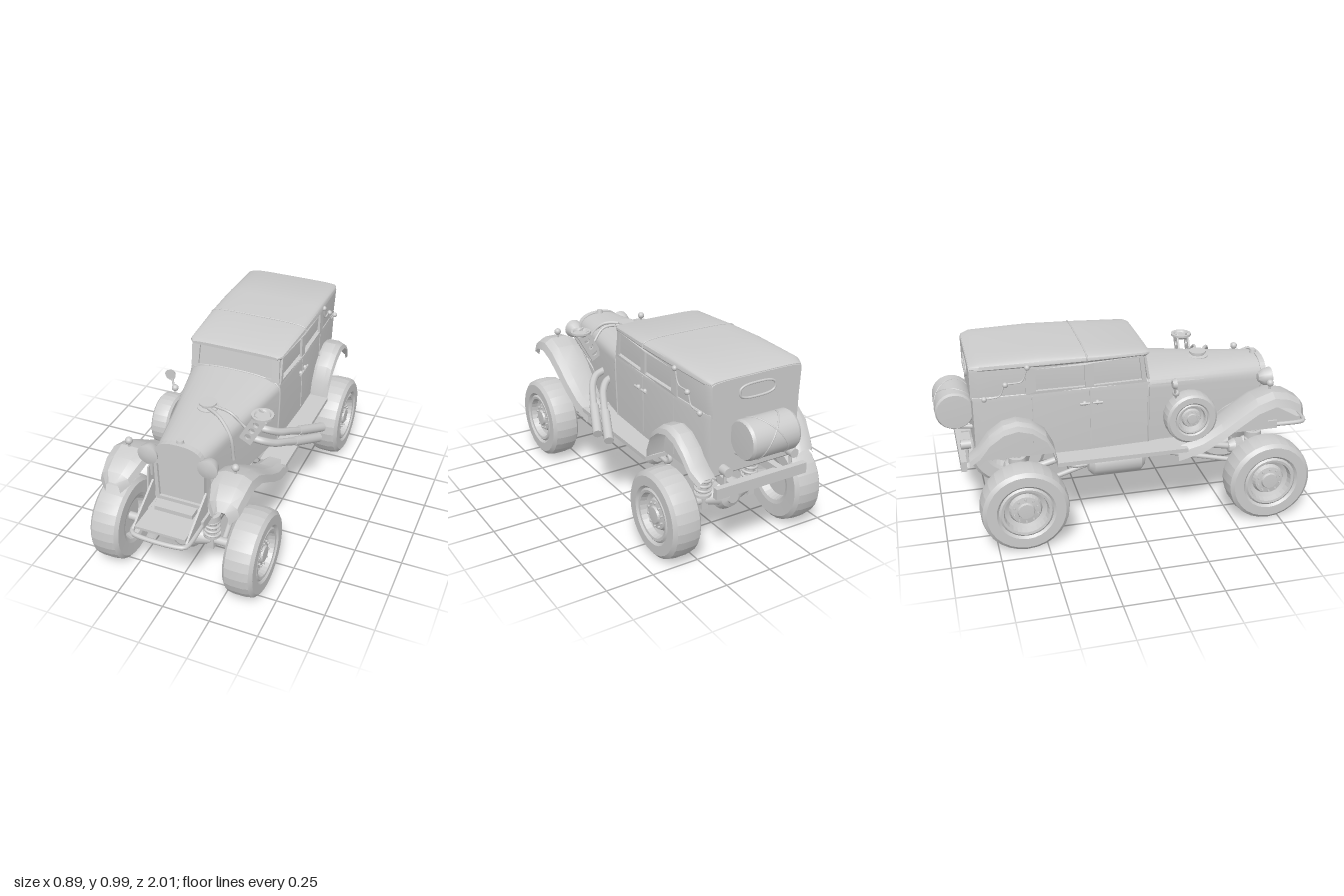
import * as THREE from 'three';
import { toCreasedNormals } from 'three/addons/utils/BufferGeometryUtils.js';

const mat = new THREE.MeshStandardMaterial({ color: 0xcccccc });
const thin = new THREE.MeshStandardMaterial({ color: 0xcccccc, side: THREE.DoubleSide });
const V = (x, y, z) => new THREE.Vector3(x, y, z);
const SIDES = [1, -1];

export function createModel() {
  const model = new THREE.Group();
  const car = new THREE.Group();
  car.name = 'offRoadCar';
  car.position.x = -0.01;
  model.add(car);

  // helpers
  const add = (name, geo, x = 0, y = 0, z = 0, m = mat, parent = car) => {
    const mesh = new THREE.Mesh(geo, m);
    mesh.name = name;
    mesh.position.set(x, y, z);
    parent.add(mesh);
    return mesh;
  };
  const box = (name, w, h, d, x, y, z) => add(name, new THREE.BoxGeometry(w, h, d), x, y, z);
  const ball = (name, r, x, y, z) => add(name, new THREE.SphereGeometry(r, 14, 10), x, y, z);
  const rod = (name, a, b, r, r2 = r, n = 14) => {
    const dir = b.clone().sub(a), mid = a.clone().lerp(b, 0.5);
    const mesh = add(name, new THREE.CylinderGeometry(r2, r, dir.length(), n), mid.x, mid.y, mid.z);
    mesh.quaternion.setFromUnitVectors(V(0, 1, 0), dir.normalize());
    return mesh;
  };
  const tube = (name, pts, r, closed = false, n = 40) =>
    add(name, new THREE.TubeGeometry(new THREE.CatmullRomCurve3(pts, closed, 'centripetal'), n, r, 8, closed), 0, 0, 0, thin);
  const lathe = (pts, n = 28, crease = 0.5) =>
    toCreasedNormals(new THREE.LatheGeometry(pts.map(p => new THREE.Vector2(...p)), n), crease);
  const shape = pts => new THREE.Shape(pts.map(p => new THREE.Vector2(...p)));
  // side plate: outline in (z, y), thickness across x
  const plate = (name, outline, t, x, holes = []) => {
    const s = shape(outline);
    holes.forEach(h => s.holes.push(shape(h)));
    const g = new THREE.ExtrudeGeometry(s, { depth: t, bevelEnabled: false });
    return add(name, g.rotateY(-Math.PI / 2).translate(t / 2, 0, 0), x);
  };
  // arched section, counter-clockwise as seen from the front
  const arch = (z, hw, bottom, shoulder, top, p, lean = 0) => {
    const ring = [V(hw * 0.97, bottom, z)];
    for (let i = 0; i <= 16; i++) {
      const a = i / 16 * Math.PI, c = Math.cos(a);
      const y = shoulder + (top - shoulder) * Math.max(0, Math.sin(a)) ** p;
      ring.push(V(hw * Math.sign(c) * Math.abs(c) ** p, y, z - lean * (y - bottom)));
    }
    ring.push(V(-hw * 0.97, bottom, z));
    return ring;
  };
  // skin through sections ordered front to back, closed at both ends
  const loft = (rings, crease = 0.5) => {
    const n = rings[0].length, pos = [], idx = [];
    rings.forEach(r => r.forEach(p => pos.push(p.x, p.y, p.z)));
    for (let i = 0; i < rings.length - 1; i++) for (let j = 0; j < n; j++) {
      const f = i * n + j, f1 = i * n + (j + 1) % n;
      idx.push(f + n, f1 + n, f1, f + n, f1, f);
    }
    [0, rings.length - 1].forEach((ri, back) => {
      const c = rings[ri].reduce((s, p) => s.add(p), V(0, 0, 0)).divideScalar(n), ci = pos.length / 3;
      pos.push(c.x, c.y, c.z);
      for (let j = 0; j < n; j++) {
        const a = ri * n + j, b = ri * n + (j + 1) % n;
        idx.push(ci, back ? b : a, back ? a : b);
      }
    });
    const g = new THREE.BufferGeometry();
    g.setAttribute('position', new THREE.Float32BufferAttribute(pos, 3));
    g.setIndex(idx);
    return toCreasedNormals(g, crease);
  };

  // body: hood, lower cabin, glasshouse and roof
  add('hood', loft([arch(0.73, 0.128, 0.45, 0.69, 0.79, 0.75), arch(0.4, 0.185, 0.45, 0.72, 0.805, 0.75),
    arch(0.06, 0.25, 0.45, 0.75, 0.825, 0.75)]));
  add('lowerCabin', loft([arch(0.065, 0.25, 0.45, 0.77, 0.81, 0.4), arch(-0.26, 0.265, 0.45, 0.77, 0.81, 0.4),
    arch(-0.78, 0.262, 0.45, 0.77, 0.81, 0.4), arch(-0.82, 0.25, 0.48, 0.77, 0.81, 0.4)]));
  add('glasshouse', loft([arch(0.06, 0.235, 0.79, 0.92, 0.945, 0.4, 0.15), arch(-0.26, 0.25, 0.79, 0.92, 0.95, 0.4),
    arch(-0.8, 0.25, 0.79, 0.92, 0.95, 0.4)]));
  add('roof', loft([arch(0.07, 0.235, 0.935, 0.94, 0.952, 0.5), arch(0.045, 0.255, 0.93, 0.94, 0.963, 0.5),
    arch(-0.255, 0.27, 0.93, 0.94, 0.977, 0.5), arch(-0.48, 0.272, 0.93, 0.94, 0.985, 0.5),
    arch(-0.78, 0.268, 0.93, 0.94, 0.975, 0.5), arch(-0.825, 0.25, 0.93, 0.94, 0.955, 0.5)], 0.7));
  add('rearHood', loft([arch(-0.54, 0.266, 0.78, 0.93, 0.965, 0.4), arch(-0.79, 0.264, 0.78, 0.93, 0.965, 0.4),
    arch(-0.828, 0.25, 0.78, 0.92, 0.95, 0.4)]));
  const roofSeam = arch(-0.255, 0.271, 0.93, 0.94, 0.978, 0.5).slice(1, -1);
  tube('roofSeam', roofSeam, 0.004);
  tube('cowlSeam', arch(0.065, 0.25, 0.45, 0.75, 0.825, 0.75), 0.005);

  const screen = shape([[-0.245, 0], [0.245, 0], [0.24, 0.14], [-0.24, 0.14]]);
  screen.holes.push(shape([[-0.205, 0.015], [0.205, 0.015], [0.2, 0.122], [-0.2, 0.122]]));
  add('windscreenFrame', new THREE.ExtrudeGeometry(screen, { depth: 0.012, bevelEnabled: false }), 0, 0.8, 0.06).rotation.x = -0.15;

  const rect = (z0, z1, y0, y1) => [[z0, y0], [z1, y0], [z1, y1], [z0, y1]];
  for (const s of SIDES) {
    // window panel follows the widening of the cabin
    const panel = plate('sideWindowPanel', [[0.055, 0.79], [0.035, 0.935], [-0.56, 0.935], [-0.56, 0.79]], 0.012, 0,
      [[[0.03, 0.805], [0.015, 0.925], [-0.22, 0.925], [-0.22, 0.805]], rect(-0.265, -0.51, 0.805, 0.92)]);
    const p = panel.geometry.attributes.position;
    for (let i = 0; i < p.count; i++) p.setX(i, p.getX(i) + s * (0.245 + 0.016 * Math.min(1, (0.06 - p.getZ(i)) / 0.32)));
    panel.geometry.computeVertexNormals();
    for (const z of [-0.24, -0.53]) box('doorSeam', 0.004, 0.3, 0.006, s * 0.264, 0.63, z);
    for (const z of [-0.205, -0.27]) {
      rod('doorHandle', V(s * 0.275, 0.715, z - 0.025), V(s * 0.275, 0.715, z + 0.025), 0.006);
      ball('handleBoss', 0.012, s * 0.268, 0.715, z);
    }
    // roof fasteners and cord
    const knobs = [[0.935, -0.55], [0.855, -0.66], [0.79, -0.765]];
    knobs.forEach(([y, z]) => ball('roofKnob', 0.014, s * 0.272, y, z));
    tube('roofCord', [V(s * 0.27, 0.935, -0.55), V(s * 0.27, 0.865, -0.58), V(s * 0.27, 0.855, -0.66),
      V(s * 0.27, 0.8, -0.69), V(s * 0.268, 0.79, -0.765)], 0.004);
    for (const z of [0.36, 0.27, 0.18]) box('hoodLouvre', 0.008, 0.05, 0.008, s * (0.247 - z * 0.17), 0.68, z);
  }
  const oval = [];
  for (let i = 0; i < 20; i++) {
    const a = i / 20 * Math.PI * 2, q = v => Math.sign(v) * Math.abs(v) ** 0.7;
    oval.push(V(0.1 * q(Math.cos(a)), 0.875 + 0.035 * q(Math.sin(a)), -0.829));
  }
  tube('rearWindowRim', oval, 0.006, true, 60);

  // radiator shell, cap and filler
  const shell = new THREE.Shape(arch(0, 0.132, 0.45, 0.69, 0.797, 0.75).map(v => new THREE.Vector2(v.x, v.y)));
  shell.holes.push(shape([[-0.11, 0.47], [0.11, 0.47], [0.115, 0.665], [-0.115, 0.665]]));
  add('radiatorShell', new THREE.ExtrudeGeometry(shell, { depth: 0.03, bevelEnabled: false }), 0, 0, 0.715);
  add('radiatorCap', new THREE.CylinderGeometry(0.015, 0.02, 0.02, 12), 0, 0.8, 0.715);
  add('hoodFiller', lathe([[0.055, 0], [0.055, 0.012], [0.035, 0.016], [0.035, 0.025], [0.045, 0.028], [0.045, 0.036], [0, 0.036]], 20), 0, 0.795, 0.4);

  // fenders: crowned sheet swept along a (z, y, inner x, outer x) path
  const fender = (name, path, s, skirt) => {
    const section = [[0, 0.8], [0.07, 0.3], [0.28, 0], [0.72, 0], [0.93, 0.35], [1, 1]];
    const pos = [], idx = [], n = section.length;
    path.forEach(([z, y, a, b], i) => {
      section.forEach(([u, d]) => pos.push(s * (a + (b - a) * u), y - d * skirt, z));
      if (i) for (let j = 0; j < n - 1; j++) {
        const k = i * n + j, q = [k - n, k - n + 1, k + 1, k];
        if (s < 0) q.reverse();
        idx.push(q[0], q[1], q[2], q[0], q[2], q[3]);
      }
    });
    const g = new THREE.BufferGeometry();
    g.setAttribute('position', new THREE.Float32BufferAttribute(pos, 3));
    g.setIndex(idx);
    add(name, toCreasedNormals(g, 0.45), 0, 0, 0, thin);
  };
  for (const s of SIDES) {
    fender('frontFender', [[0.89, 0.6, 0.24, 0.32], [0.86, 0.64, 0.2, 0.36], [0.79, 0.68, 0.175, 0.372], [0.71, 0.695, 0.17, 0.375],
      [0.62, 0.665, 0.17, 0.375], [0.53, 0.605, 0.17, 0.373], [0.44, 0.54, 0.18, 0.37], [0.33, 0.475, 0.2, 0.365], [0.2, 0.44, 0.22, 0.36]], s, 0.065);
    fender('rearFender', [[-0.425, 0.445, 0.24, 0.355], [-0.44, 0.53, 0.24, 0.36], [-0.48, 0.61, 0.24, 0.365], [-0.55, 0.665, 0.24, 0.367],
      [-0.62, 0.685, 0.24, 0.367], [-0.69, 0.67, 0.24, 0.367], [-0.76, 0.62, 0.24, 0.365], [-0.81, 0.55, 0.24, 0.355], [-0.86, 0.5, 0.23, 0.33]], s, 0.04);
    plate('innerSplashPanel', [[0.76, 0.44], [0.74, 0.62], [0.62, 0.62], [0.5, 0.56], [0.36, 0.47], [0.25, 0.43]], 0.008, s * 0.168);
    box('runningBoard', 0.14, 0.022, 0.68, s * 0.29, 0.433, -0.09);
    ball('markerLamp', 0.019, s * 0.277, 0.727, 0.71);
    rod('markerStem', V(s * 0.277, 0.69, 0.71), V(s * 0.277, 0.72, 0.71), 0.006);
    // headlamps
    const lamp = lathe([[0, -0.06], [0.02, -0.055], [0.042, -0.03], [0.05, 0], [0.052, 0.012], [0.046, 0.014], [0, 0.022]], 20, 0.6);
    add('headlamp', lamp.rotateX(Math.PI / 2), s * 0.155, 0.71, 0.745);
    rod('headlampStay', V(s * 0.155, 0.67, 0.72), V(s * 0.165, 0.56, 0.71), 0.01);
    // chassis rails, front gussets and tail lamps
    box('chassisRail', 0.035, 0.045, 1.7, s * 0.14, 0.42, -0.03);
    plate('frontGusset', [[0.97, 0.425], [0.95, 0.44], [0.745, 0.56], [0.735, 0.425]], 0.01, s * 0.14);
    rod('tailLamp', V(s * 0.19, 0.52, -0.84), V(s * 0.19, 0.52, -0.89), 0.024);
    rod('tailLampStay', V(s * 0.19, 0.45, -0.86), V(s * 0.19, 0.52, -0.86), 0.008);
    // air tanks under the floor
    const tank = lathe([[0, -0.155], [0.05, -0.15], [0.075, -0.125], [0.078, 0.125], [0.05, 0.15], [0, 0.155]], 20, 0.6);
    add('airTank', tank.rotateX(Math.PI / 2), s * 0.165, 0.33, -0.09);
    for (const z of [0, -0.18]) box('tankStrap', 0.03, 0.06, 0.025, s * 0.165, 0.42, z);
    tube('tankPipe', [V(s * 0.165, 0.365, -0.23), V(s * 0.165, 0.365, -0.32), V(s * 0.165, 0.34, -0.345), V(s * 0.165, 0.315, -0.32), V(s * 0.165, 0.315, -0.23)], 0.012);
  }
  for (const z of [0.7, 0.3, -0.05, -0.4, -0.62, -0.85]) box('crossMember', 0.28, 0.03, 0.05, 0, 0.42, z);
  box('frontFloor', 0.26, 0.014, 0.23, 0, 0.435, 0.85);
  tube('frontHoop', [[0.145, 0.76], [0.145, 0.965], [0.13, 0.987], [-0.13, 0.987], [-0.145, 0.965], [-0.145, 0.76]].map(([x, z]) => V(x, 0.415, z)), 0.012);
  box('winchBlock', 0.2, 0.03, 0.06, 0, 0.45, 0.79);
  box('rearBumper', 0.52, 0.055, 0.03, 0, 0.43, -0.885);

  // luggage roll with crossed ropes
  const roll = lathe([[0, -0.137], [0.09, -0.134], [0.098, -0.12], [0.098, 0.12], [0.09, 0.134], [0, 0.137]], 24);
  add('luggageRoll', roll.rotateZ(Math.PI / 2), 0, 0.675, -0.902);
  for (const s of SIDES) {
    const loop = [];
    for (let i = 0; i < 24; i++) {
      const a = i / 24 * Math.PI * 2;
      loop.push(V(s * 0.075 * Math.sin(a * 1 + 0.6), 0.675 + 0.098 * Math.sin(a), -0.902 + 0.096 * Math.cos(a)));
    }
    tube('luggageRope', loop, 0.004, true, 60);
    rod('luggageBracket', V(s * 0.1, 0.57, -0.8), V(s * 0.1, 0.585, -0.91), 0.012);
  }

  // wheels, axles and suspension
  const tyre = [[0, -0.03], [0.1, -0.03], [0.115, -0.07], [0.135, -0.076], [0.2, -0.078], [0.219, -0.062], [0.225, -0.03], [0.225, 0.03],
    [0.219, 0.062], [0.2, 0.078], [0.15, 0.078], [0.138, 0.066], [0.128, 0.074], [0.115, 0.072], [0.108, 0.04], [0.085, 0.03],
    [0.075, 0.05], [0.045, 0.055], [0.04, 0.066], [0, 0.068]];
  const wheel = (x, y, z, s, k = 1) => {
    const g = new THREE.Group();
    g.name = 'wheel';
    g.position.set(x, y, z);
    g.rotation.y = s > 0 ? 0 : Math.PI;
    g.scale.setScalar(k);
    add('tyreAndRim', lathe(tyre, 28, 0.2).rotateZ(-Math.PI / 2), 0, 0, 0, mat, g);
    for (let i = 0; i < 10; i++) {
      const a = i / 10 * Math.PI * 2;
      add('wheelNut', new THREE.CylinderGeometry(0.006, 0.006, 0.016, 6).rotateZ(Math.PI / 2), 0.055, 0.062 * Math.cos(a), 0.062 * Math.sin(a), mat, g);
    }
    car.add(g);
  };
  for (const [z, dir] of [[0.686, 1], [-0.606, -1]]) {
    rod('axle', V(-0.32, 0.228, z), V(0.32, 0.228, z), 0.022);
    const diff = lathe([[0, -0.09], [0.03, -0.085], [0.045, -0.05], [0.085, -0.02], [0.088, 0.015], [0.06, 0.05], [0.035, 0.06], [0.03, 0.07], [0, 0.07]], 24);
    add('differential', diff.rotateX(dir * Math.PI / 2), 0, 0.23, z);
    rod('driveShaft', V(0, 0.235, z - dir * 0.08), V(0, 0.34, -0.02 + dir * 0.1), 0.018);
    add('axleBracket', new THREE.CylinderGeometry(0.085, 0.045, 0.12, 4).rotateY(Math.PI / 4), 0, 0.36, z - dir * 0.04);
    for (const s of SIDES) {
      wheel(s * 0.357, 0.225, z, s);
      rod('axleFlare', V(s * 0.14, 0.228, z), V(s * 0.03, 0.228, z), 0.026, 0.06);
      box('shockFoot', 0.035, 0.08, 0.05, s * 0.14, 0.225, z);
      rod('shockCore', V(s * 0.14, 0.25, z), V(s * 0.14, 0.4, z), 0.024);
      rod('shockTop', V(s * 0.14, 0.36, z), V(s * 0.14, 0.395, z), 0.046);
      rod('springSeat', V(s * 0.14, 0.255, z), V(s * 0.14, 0.268, z), 0.044);
      const coil = [];
      for (let i = 0; i <= 48; i++) {
        const a = i / 48 * Math.PI * 7;
        coil.push(V(s * 0.14 + 0.038 * Math.cos(a), 0.268 + 0.095 * i / 48, z + 0.038 * Math.sin(a)));
      }
      tube('coilSpring', coil, 0.007, false, 90);
      rod('trailingLink', V(s * 0.2, 0.225, z), V(s * 0.11, 0.345, dir * 0.03), 0.013);
    }
  }
  box('transferCase', 0.14, 0.12, 0.22, 0, 0.36, -0.02);

  // spare wheel and round mirror on the right
  wheel(-0.275, 0.585, 0.28, -1, 0.61);
  rod('mirrorStalk', V(-0.28, 0.7, 0.2), V(-0.31, 0.79, 0.18), 0.006);
  rod('mirror', V(-0.31, 0.79, 0.17), V(-0.31, 0.79, 0.19), 0.02, 0.03, 18);
  ball('mirrorJoint', 0.018, -0.28, 0.725, 0.2);

  // air intake with drilled bracket, and hoses on the left
  const stay = shape([[-0.035, 0], [0.035, 0], [0.035, 0.17], [-0.035, 0.17]]);
  for (const y of [0.035, 0.08, 0.125]) stay.holes.push(new THREE.Path().absarc(0, y, 0.016, 0, Math.PI * 2, true));
  for (const z of [0.36, 0.42])
    add('intakeStay', new THREE.ExtrudeGeometry(stay, { depth: 0.01, bevelEnabled: false }), 0.205, 0.67, z).rotation.z = -0.5;
  add('intakePan', lathe([[0, -0.02], [0.035, -0.02], [0.045, -0.006], [0.056, -0.005], [0.056, 0.006], [0.042, 0.006], [0.036, -0.003], [0, -0.003]], 22), 0.285, 0.822, 0.395);
  tube('intakeHose', [V(0, 0.815, 0.42), V(0.1, 0.81, 0.48), V(0.165, 0.74, 0.51), V(0.178, 0.6, 0.5)], 0.009);
  tube('fillerHose', [V(0.03, 0.815, 0.4), V(0.13, 0.81, 0.42), V(0.2, 0.74, 0.41)], 0.007);

  // twin exhausts with wider outlet sleeves
  for (const [dx, dz] of [[0, 0], [-0.012, -0.1]]) {
    const at = (x, y, z) => V(x + dx, y, z + dz);
    tube('exhaustPipe', [at(0.19, 0.61, 0.31), at(0.25, 0.595, 0.295), at(0.295, 0.565, 0.25), at(0.335, 0.53, 0.17), at(0.37, 0.49, 0.09)], 0.02);
    rod('exhaustSleeve', at(0.355, 0.505, 0.12), at(0.43, 0.432, -0.06), 0.025);
  }
  return model;
}
